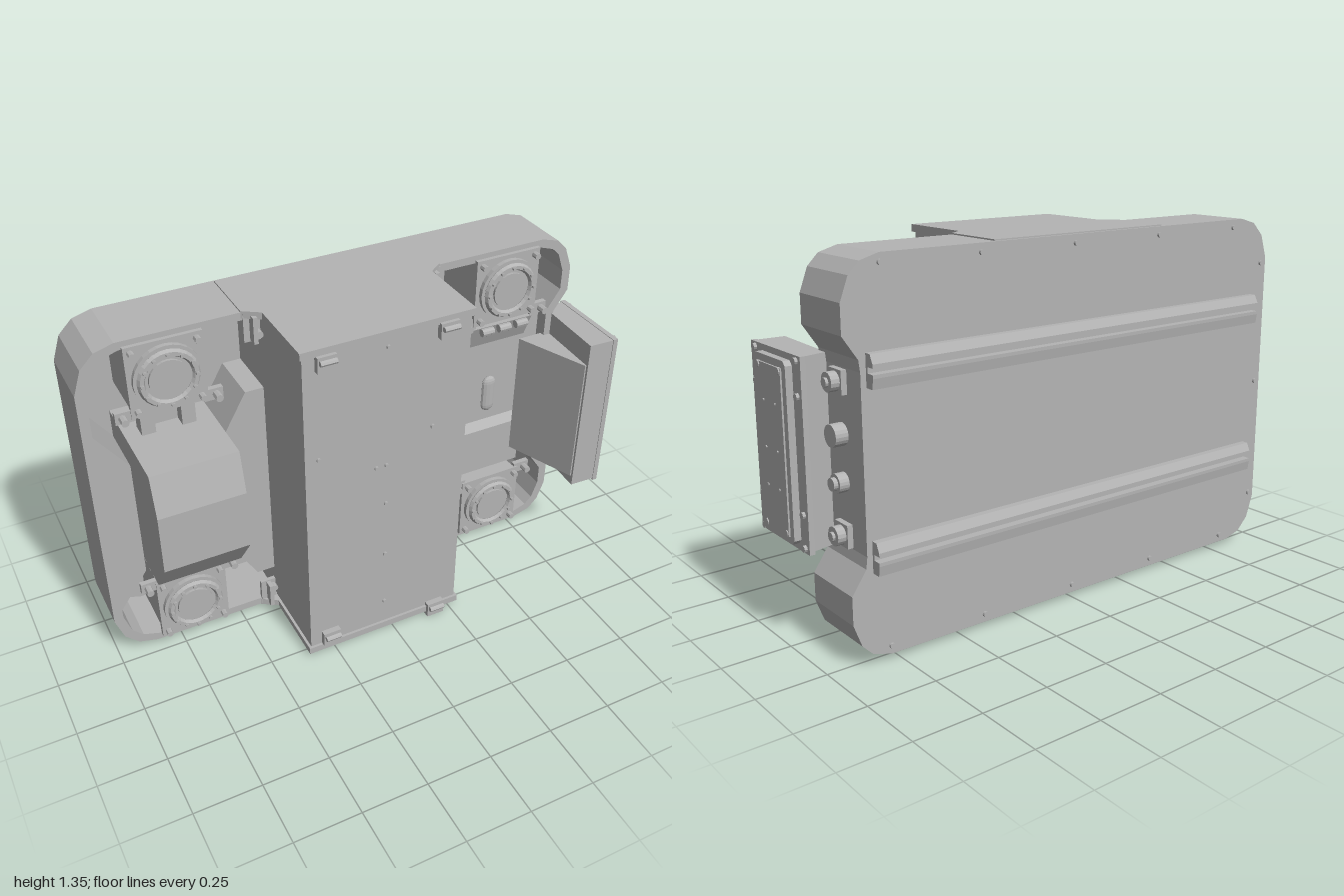
import * as THREE from 'three';

export function createModel() {
  const root = new THREE.Group();
  root.name = 'wallUnit';
  const grey = new THREE.MeshStandardMaterial({ color: 0xb4b4b4, flatShading: true, side: THREE.DoubleSide });
  grey.name = 'plain grey';

  const add = (name, geo, x = 0, y = 0, z = 0, parent = root) => {
    const m = new THREE.Mesh(geo, grey);
    m.name = name;
    m.position.set(x, y, z);
    parent.add(m);
    return m;
  };
  // box given by its limits
  const box = (name, x0, x1, y0, y1, z0, z1, parent = root) =>
    add(name, new THREE.BoxGeometry(x1 - x0, y1 - y0, z1 - z0), (x0 + x1) / 2, (y0 + y1) / 2, (z0 + z1) / 2, parent);
  const shapeOf = (pts) => new THREE.Shape(pts.map(([a, b]) => new THREE.Vector2(a, b)));
  // outline in x,y pushed along z
  const slab = (name, shape, z0, z1) =>
    add(name, new THREE.ExtrudeGeometry(shape, { depth: z1 - z0, bevelEnabled: false }), 0, 0, z0);
  // outline in x,z pushed along y
  const plan = (name, pts, y0, y1) => {
    const g = new THREE.ExtrudeGeometry(shapeOf(pts.map(([x, z]) => [x, -z])), { depth: y1 - y0, bevelEnabled: false });
    g.rotateX(-Math.PI / 2);
    return add(name, g, 0, y0, 0);
  };
  // outline in z,y pushed along x
  const side = (name, pts, x0, x1) => {
    const g = new THREE.ExtrudeGeometry(shapeOf(pts.map(([z, y]) => [-z, y])), { depth: x1 - x0, bevelEnabled: false });
    g.rotateY(Math.PI / 2);
    return add(name, g, x0, 0, 0);
  };
  const disc = (name, r, depth, x, y, z, parent = root, axis = 'z', n = 12) => {
    const g = new THREE.CylinderGeometry(r, r, depth, n);
    if (axis === 'z') g.rotateX(Math.PI / 2); else g.rotateZ(Math.PI / 2);
    return add(name, g, x, y, z, parent);
  };
  const MID = 0.68;
  const mirrorY = (pts) => [...pts, ...pts.map(([x, y]) => [x, 2 * MID - y]).reverse()];

  // tray: back plate and rim wall, notched on one side
  const outer = mirrorY([[0.86, 0.98], [0.865, 1.02], [0.92, 1.1], [0.92, 1.2], [0.89, 1.28], [0.85, 1.32], [0.78, 1.34],
    [-0.85, 1.34], [-0.92, 1.32], [-0.97, 1.27], [-1, 1.18]]);
  const inner = mirrorY([[0.83, 0.98], [0.83, 1.03], [0.885, 1.11], [0.885, 1.19], [0.86, 1.26], [0.83, 1.29], [0.77, 1.31],
    [-0.84, 1.31], [-0.9, 1.29], [-0.94, 1.25], [-0.965, 1.17]]);
  slab('backPlate', shapeOf(outer), -0.29, -0.265);
  const rim = shapeOf(outer);
  rim.holes.push(new THREE.Path(inner.map(([x, y]) => new THREE.Vector2(x, y))));
  slab('rimWall', rim, -0.27, -0.04);

  // mounting rails on the back, slotted along their length
  for (const y of [0.375, 0.985]) {
    side('mountingRail', [[-0.285, y - 0.055], [-0.325, y - 0.055], [-0.33, y - 0.02], [-0.33, y - 0.008], [-0.3, y - 0.008],
      [-0.3, y + 0.012], [-0.33, y + 0.012], [-0.33, y + 0.025], [-0.315, y + 0.055], [-0.285, y + 0.055]], -0.92, 0.84);
  }
  // rivets round the edge of the back
  for (const y of [0.05, 1.31]) for (const x of [-0.8, -0.4, 0, 0.4, 0.78]) disc('backRivet', 0.01, 0.012, x, y, -0.293);
  for (const y of [0.2, 0.68, 1.16]) disc('backRivet', 0.01, 0.012, -0.97, y, -0.293);

  // central cabinet with T-shaped caps
  box('cabinet', -0.35, 0.275, 0.04, 1.32, -0.27, 0.285);
  const cap = [[-0.42, -0.28], [0.34, -0.28], [0.34, -0.04], [0.31, -0.02], [0.285, 0], [0.285, 0.295],
    [-0.36, 0.295], [-0.36, 0], [-0.39, -0.02], [-0.42, -0.04]];
  plan('topCap', cap, 1.318, 1.345);
  plan('bottomCap', cap, 0.018, 0.045);
  for (const [x, y] of [[-0.04, 1.28], [-0.04, 0.8], [-0.08, 0.8], [-0.04, 0.63], [-0.04, 0.39], [-0.04, 0.15], [-0.3, 0.91], [0.14, 0.91]])
    disc('cabinetScrew', 0.008, 0.012, x, y, 0.288);
  // latches at the cabinet ends
  for (const [x, y] of [[-0.27, 1.29], [0.18, 1.295], [-0.27, 0.075], [0.18, 0.03]]) {
    box('latch', x - 0.035, x + 0.035, y - 0.03, y + 0.03, 0.28, 0.308);
    const pin = disc('latchPin', 0.01, 0.06, x, y + 0.012, 0.315, root, 'x', 8);
    pin.scale.z = 1.2;
  }
  // corner brackets beside the cabinet
  for (const x of [-0.385, 0.31]) for (const s of [-1, 1]) {
    box('cornerBracket', x - 0.03, x + 0.03, MID + s * 0.6 - 0.055, MID + s * 0.6 + 0.055, -0.05, -0.035);
    box('cornerBracketWeb', x - 0.008, x + 0.008, MID + s * 0.6 - 0.05, MID + s * 0.6 + 0.05, -0.05, 0);
    disc('bracketBolt', 0.013, 0.03, x + 0.018, MID + s * 0.575, -0.025);
  }

  // flared shoulders between the cabinet and the side units
  const flare = (xa, xb, ha, hb) => shapeOf([[xa, 0.6 - ha], [xb, 0.6 - hb], [xb, 0.6 + hb], [xa, 0.6 + ha]]);
  slab('shoulder', flare(-0.42, -0.53, 0.42, 0.23), -0.27, -0.05);
  slab('shoulderRoot', flare(-0.35, -0.42, 0.42, 0.42), -0.27, -0.05);
  slab('shoulder', flare(0.36, 0.5, 0.42, 0.23), -0.27, -0.05);
  slab('shoulderRoot', flare(0.27, 0.36, 0.42, 0.42), -0.27, -0.05);
  slab('outerShoulder', flare(-0.965, -0.85, 0.4, 0.24), -0.27, -0.06);

  // faceted side cover with the struts behind it
  side('sideCover', [[-0.26, 0.42], [0.1, 0.42], [0.21, 0.57], [0.21, 0.8], [0.17, 0.95], [-0.26, 0.95]], -0.85, -0.535);
  for (const x of [-0.77, -0.625]) box('strut', x - 0.025, x + 0.025, 0.3, 1.06, -0.12, -0.06);
  box('strutPlate', -0.745, -0.65, 0.3, 1.06, -0.15, -0.11);

  // four round flanges on square plates
  const flange = (x, y, s) => {
    const g = new THREE.Group();
    g.name = 'flangeUnit';
    g.position.set(x, y, 0);
    root.add(g);
    box('flangeHousing', -0.125, 0.125, -0.125, 0.125, -0.27, -0.04, g);
    box('flangePlate', -0.135, 0.135, -0.135, 0.135, -0.045, -0.025, g);
    disc('flangeStep', 0.12, 0.02, 0, 0, -0.018, g, 'z', 28);
    add('flangeRing', new THREE.TorusGeometry(0.095, 0.014, 6, 28), 0, 0, -0.004, g);
    disc('flangeHub', 0.07, 0.02, 0, 0, -0.008, g, 'z', 24);
    for (let i = 0; i < 12; i++) {
      const a = (i / 12) * Math.PI * 2;
      disc('ringBolt', 0.007, 0.012, 0.095 * Math.cos(a), 0.095 * Math.sin(a), 0.012, g, 'z', 6);
    }
    for (const i of [-1, 1]) {
      for (const j of [-1, 1]) disc('plateBolt', 0.012, 0.03, i * 0.112, j * 0.112, -0.015, g, 'z', 8);
      box('mountEar', i * 0.155 - 0.035, i * 0.155 + 0.035, -s * 0.125 - 0.022, -s * 0.125 + 0.022, -0.05, -0.03, g);
      disc('earBolt', 0.014, 0.04, i * 0.165, -s * 0.125, -0.015, g, 'z', 8);
    }
  };
  for (const x of [-0.695, 0.625]) for (const s of [-1, 1]) flange(x, MID + s * 0.505, s);

  // duct between the flanges beside the connector box
  side('duct', [[-0.27, 0.33], [-0.06, 0.33], [-0.06, 0.53], [-0.09, 0.56], [-0.09, 0.92], [-0.05, 1.02], [-0.27, 1.02]], 0.495, 0.77);
  const slot = new THREE.CapsuleGeometry(0.03, 0.1, 4, 12);
  slot.scale(1, 1, 0.5);
  add('ductHandle', slot, 0.62, 0.685, -0.085);
  for (const x of [0.55, 0.625, 0.7]) disc('hinge', 0.016, 0.05, x, 1.02, -0.02, root, 'x', 10);
  box('ductSideStrip', 0.77, 0.84, 0.36, 1.0, -0.27, -0.09);

  // connector box carried on a sloping bracket
  plan('slopingBracket', [[0.73, -0.06], [0.87, -0.06], [0.87, 0.22], [0.84, 0.22]], 0.4, 0.92);
  plan('connectorBox', [[0.86, -0.08], [0.955, -0.1], [0.955, 0.235], [0.845, 0.23]], 0.36, 1.01);
  box('connectorFlange', 0.945, 0.965, 0.352, 1.012, -0.105, 0.237);
  const doorShape = shapeOf([[-0.17, 0.39], [-0.155, 0.375], [0.035, 0.375], [0.05, 0.39], [0.05, 0.975], [0.035, 0.99], [-0.155, 0.99], [-0.17, 0.975]]);
  const door = new THREE.ExtrudeGeometry(doorShape, { depth: 0.028, bevelEnabled: false });
  door.rotateY(Math.PI / 2);
  add('connectorDoor', door, 0.962, 0, 0);
  box('connectorDoorPanel', 0.985, 0.996, 0.4, 0.965, -0.025, 0.145);
  for (const y of [0.41, 0.955]) for (const z of [-0.012, 0.13]) disc('doorScrew', 0.012, 0.014, 0.993, y, z, root, 'x', 8);
  for (const y of [0.37, 0.485, 0.88, 0.995]) for (const z of [-0.08, 0.205]) disc('flangeScrew', 0.012, 0.014, 0.969, y, z, root, 'x', 8);
  for (const y of [0.55, 0.68, 0.84]) for (const z of [0.02, 0.1]) disc('panelRivet', 0.005, 0.006, 0.997, y, z, root, 'x', 6);

  // sockets on the notched wall
  for (const y of [0.425, 0.935]) {
    box('socketPlate', 0.85, 0.88, y - 0.04, y + 0.04, -0.205, -0.125);
    disc('socketCollar', 0.033, 0.04, 0.89, y, -0.165, root, 'x', 16);
    disc('socketCore', 0.016, 0.05, 0.895, y, -0.165, root, 'x', 10);
  }
  disc('roundPort', 0.038, 0.05, 0.88, 0.76, -0.165, root, 'x', 20);
  disc('roundPort', 0.033, 0.04, 0.875, 0.6, -0.165, root, 'x', 20);
  disc('roundPortCore', 0.022, 0.06, 0.88, 0.6, -0.165, root, 'x', 16);

  return root;
}
